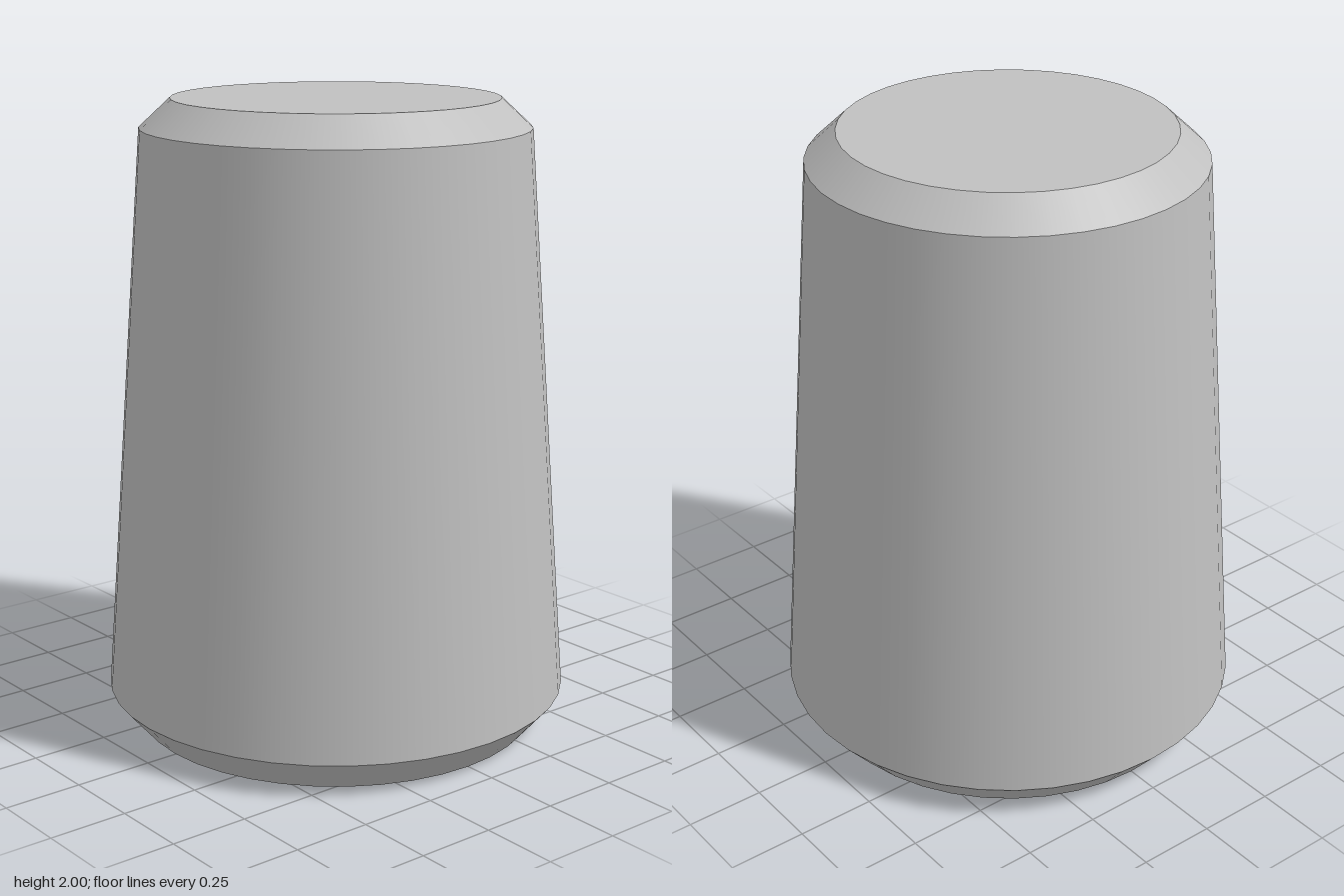
import * as THREE from 'three';

const SEGMENTS = 40;

export function createModel() {
  const group = new THREE.Group();
  group.name = 'taperedFoot';
  const grey = new THREE.MeshStandardMaterial({ color: 0xc0c0c0 });
  grey.name = 'plain grey';

  // Profile rings [radius, height], from the end of the blind bore round to the top centre
  const rings = [
    [0, 1.0], [0.164, 1.0], [0.164, 0], [0.645, 0],
    [0.74, 0.11], [0.607, 1.91], [0.51, 2], [0, 2],
  ];
  const names = ['boreEnd', 'boreWall', 'bottomFace', 'bottomChamfer', 'taperedBody', 'topChamfer', 'topFace'];

  // One lathe per band: smooth around the axis, crisp between bands
  names.forEach((name, i) => {
    const band = [rings[i], rings[i + 1]].map(([r, y]) => new THREE.Vector2(r, y));
    const mesh = new THREE.Mesh(new THREE.LatheGeometry(band, SEGMENTS), grey);
    mesh.name = name;
    group.add(mesh);
  });
  return group;
}
